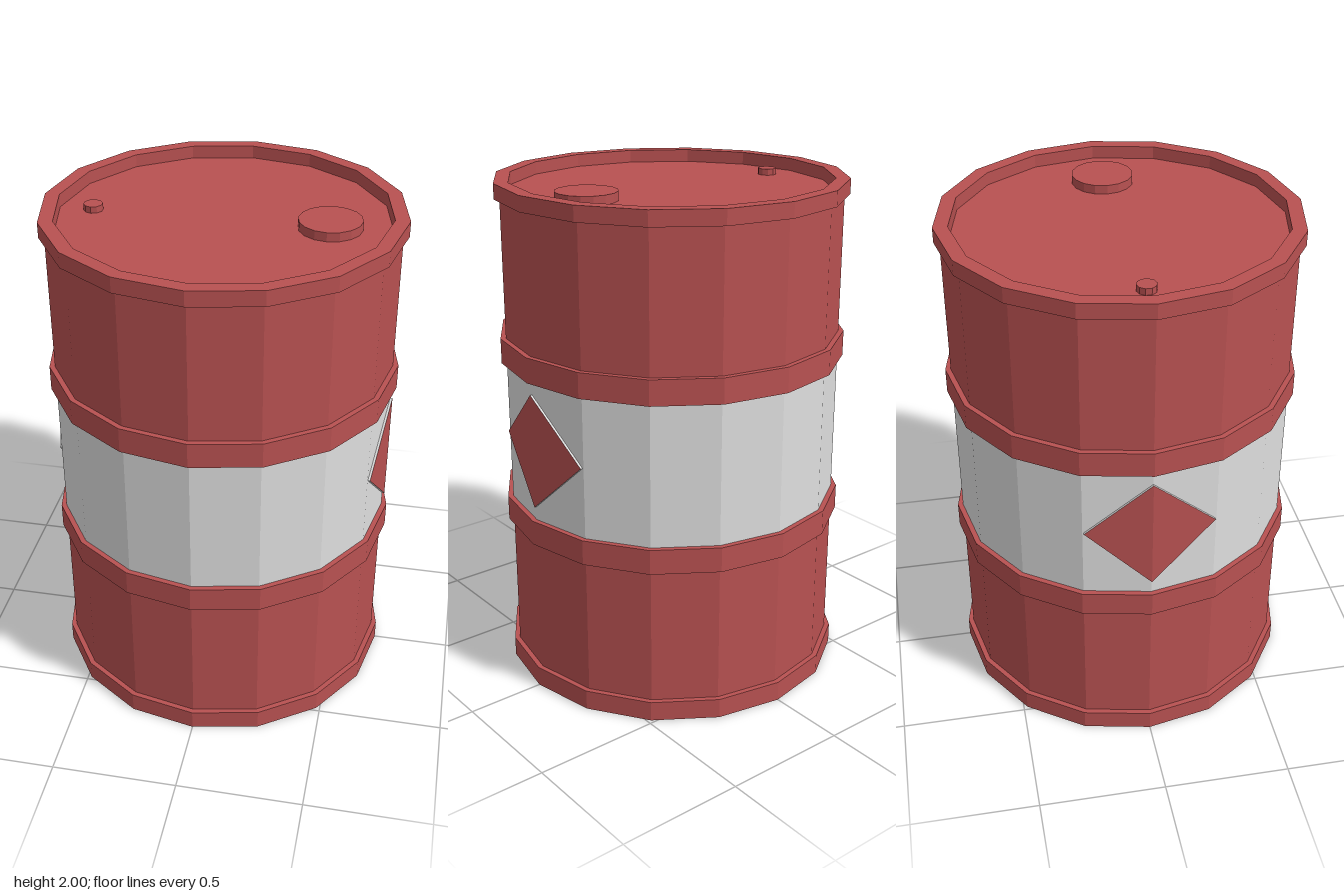
import * as THREE from 'three';

const SIDES = 16;

export function createModel() {
  const red = new THREE.MeshStandardMaterial({ color: 0xb85151, flatShading: true });
  red.name = 'barrel red';
  const white = new THREE.MeshStandardMaterial({ color: 0xdedede, flatShading: true });
  white.name = 'band white';

  const model = new THREE.Group();
  model.name = 'barrel';

  const add = (name, geometry, material, parent = model) => {
    const mesh = new THREE.Mesh(geometry, material);
    mesh.name = name;
    parent.add(mesh);
    return mesh;
  };

  // Faceted shell turned from [radius, height] points
  const turned = (points) => {
    const profile = points.map(([r, y]) => new THREE.Vector2(r, y));
    const geometry = new THREE.LatheGeometry(profile, SIDES).toNonIndexed();
    geometry.computeVertexNormals();
    return geometry;
  };

  const BODY = 0.665, RIM = 0.686, INNER = 0.63;

  // Lower shell: recessed base, bottom rim, wall and lower hoop
  add('lowerShell', turned([
    [0, 0.025], [INNER, 0.025], [INNER, 0], [RIM, 0], [RIM, 0.08], [BODY, 0.08],
    [BODY, 0.635], [RIM, 0.635], [RIM, 0.735], [BODY, 0.735],
  ]), red);

  // Pale middle band
  add('middleBand', turned([[BODY, 0.735], [BODY, 1.3]]), white);

  // Upper shell: upper hoop, wall, top rim and recessed lid
  add('upperShell', turned([
    [BODY, 1.3], [RIM, 1.3], [RIM, 1.4], [BODY, 1.4], [BODY, 1.94],
    [RIM, 1.94], [RIM, 2], [INNER, 2], [INNER, 1.95], [0, 1.95],
  ]), red);

  // Lid caps
  const cap = (name, radius, height, sides, x) => {
    const mesh = add(name, new THREE.CylinderGeometry(radius, radius, height, sides), red);
    mesh.position.set(x, 1.95 + height / 2, 0);
  };
  cap('largeCap', 0.12, 0.035, 16, 0.397);
  cap('smallCap', 0.037, 0.025, 10, -0.5);

  // Diamond label folded over the corner between two wall facets
  const slope = (1 - Math.cos(Math.PI / 8)) / Math.sin(Math.PI / 8);
  const outline = [[0, 1.25], [0.25, 1.02], [0, 0.79], [-0.25, 1.02]]; // z, y
  const at = ([z, y], lift) => [BODY + lift - Math.abs(z) * slope, y, z];
  const faces = (positions) => {
    const geometry = new THREE.BufferGeometry();
    geometry.setAttribute('position', new THREE.Float32BufferAttribute(positions.flat(), 3));
    geometry.computeVertexNormals();
    return geometry;
  };
  const [top, front, bottom, back] = outline.map((p) => at(p, 0.009));
  const face = faces([top, front, bottom, top, bottom, back]);

  const edge = [];
  outline.forEach((p, i) => {
    const q = outline[(i + 1) % 4];
    const a = at(p, 0.009), b = at(q, 0.009), c = at(q, 0), d = at(p, 0);
    edge.push(a, d, c, a, c, b);
  });
  const rim = faces(edge);

  for (const [name, turn] of [['leftDiamond', 0], ['rightDiamond', Math.PI]]) {
    const label = new THREE.Group();
    label.name = name;
    label.rotation.y = turn;
    add('diamondFace', face, red, label);
    add('diamondEdge', rim, white, label);
    model.add(label);
  }

  return model;
}
